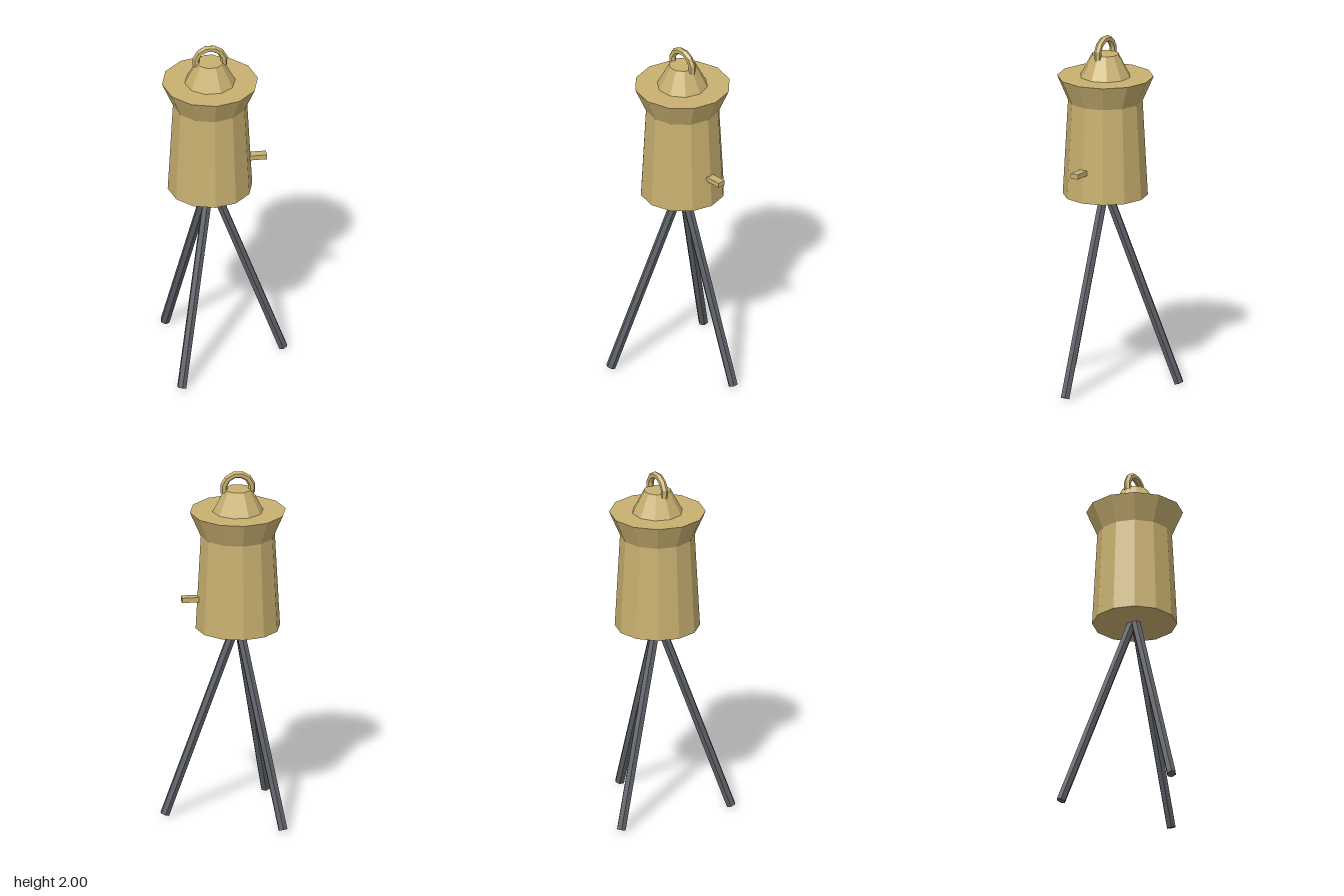
import * as THREE from 'three';

export function createModel() {
  const model = new THREE.Group();
  const brass = new THREE.MeshStandardMaterial({ color: 0xc8b070, flatShading: true, side: THREE.DoubleSide });
  const iron = new THREE.MeshStandardMaterial({ color: 0x5c6066, flatShading: true });

  const add = (name, geometry, material, parent) => {
    const mesh = new THREE.Mesh(geometry, material);
    mesh.name = name;
    parent.add(mesh);
    return mesh;
  };

  // Everything is arranged around the vessel's vertical axis
  const axis = new THREE.Group();
  axis.name = 'canOnTripod';
  axis.position.x = -0.083;
  model.add(axis);

  // Tapered ring between two heights
  const frustum = (name, rTop, rBottom, y0, y1, sides, open = false) => {
    const geometry = new THREE.CylinderGeometry(rTop, rBottom, y1 - y0, sides, 1, open);
    const mesh = add(name, geometry, brass, axis);
    mesh.position.y = (y0 + y1) / 2;
    return mesh;
  };
  frustum('body', 0.207, 0.236, 1.09, 1.63, 12);
  frustum('flaredRim', 0.268, 0.207, 1.63, 1.77, 12);
  frustum('lid', 0.075, 0.142, 1.77, 1.898, 10).rotation.y = Math.PI / 2;

  // Carrying ring: a little more than half a torus, flat segment on top
  const arc = Math.PI * 1.18;
  const ring = add('handle', new THREE.TorusGeometry(0.08, 0.02, 6, 7, arc), brass, axis);
  ring.position.y = 1.903;
  ring.rotation.z = (Math.PI - arc) / 2;

  // Spout on the left side
  const spout = add('spout', new THREE.BoxGeometry(0.16, 0.028, 0.047), brass, axis);
  spout.position.set(0.235, 1.264, 0);

  // Three splayed legs meeting just inside the body
  const top = new THREE.Vector3(0, 1.13, 0);
  const foot = new THREE.Vector3(0.408, 0.009, 0);
  const direction = top.clone().sub(foot);
  for (let i = 0; i < 3; i++) {
    const pivot = new THREE.Group();
    pivot.name = 'legMount';
    pivot.rotation.y = (i * Math.PI * 2) / 3;
    axis.add(pivot);
    const leg = add('leg', new THREE.CylinderGeometry(0.027, 0.027, direction.length(), 6), iron, pivot);
    leg.position.addVectors(top, foot).multiplyScalar(0.5);
    leg.rotation.z = Math.atan2(-direction.x, direction.y);
  }
  return model;
}
